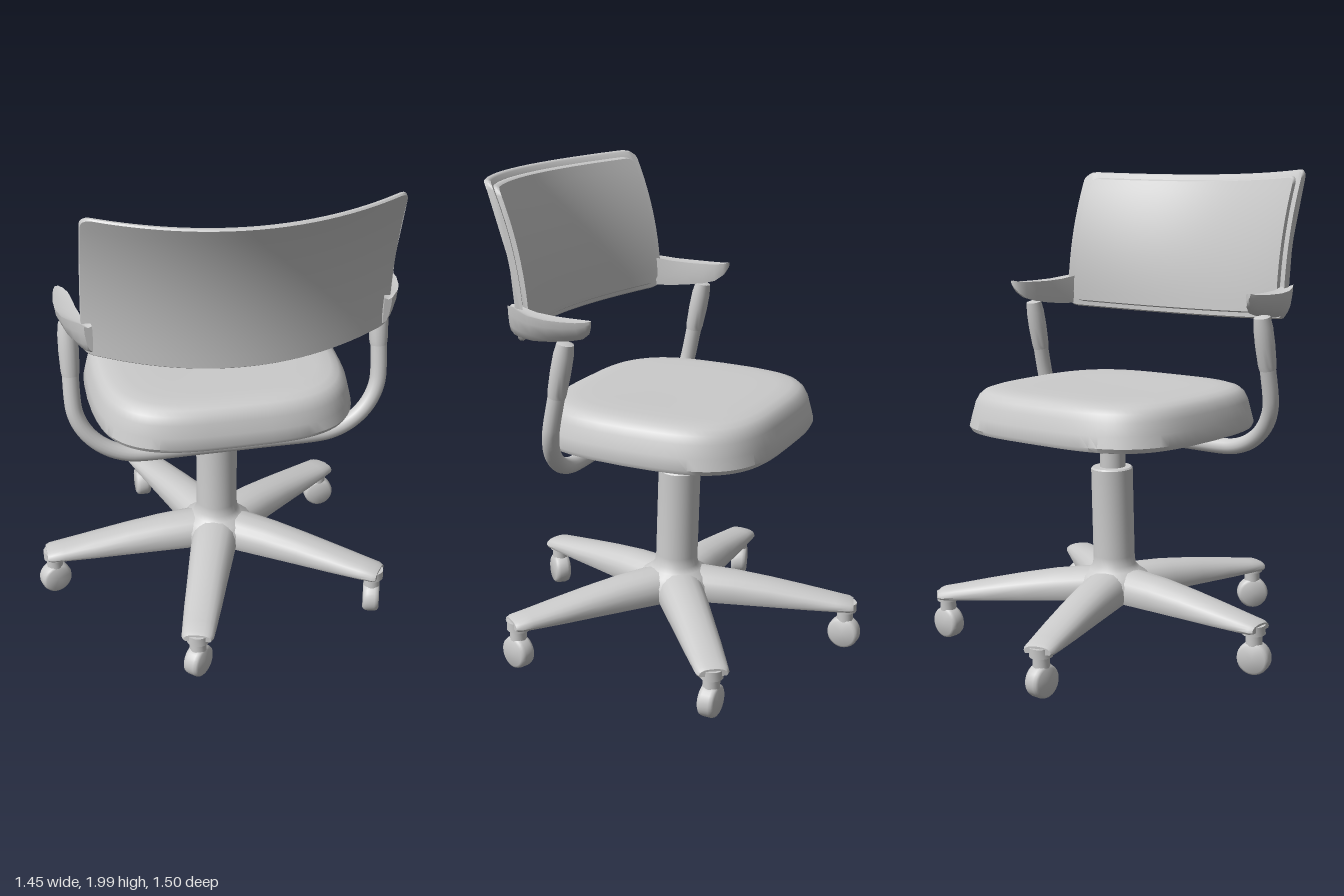
import * as THREE from 'three';
import { toCreasedNormals } from 'three/addons/utils/BufferGeometryUtils.js';

const material = new THREE.MeshStandardMaterial({ color: 0xcccccc });
const V = (x, y, z) => new THREE.Vector3(x, y, z);

function add(parent, name, geometry) {
  const mesh = new THREE.Mesh(geometry, material);
  mesh.name = name;
  parent.add(mesh);
  return mesh;
}

// Closed solid skinned over equal-length rings of points, faces turned outward
function loft(rings, crease = 0.7) {
  const n = rings[0].length, pts = rings.flat(), tris = [];
  for (let i = 0; i < rings.length - 1; i++) {
    for (let j = 0; j < n; j++) {
      const a = i * n + j, b = i * n + (j + 1) % n;
      tris.push([a, b, b + n], [a, b + n, a + n]);
    }
  }
  [0, rings.length - 1].forEach((r, end) => {
    const mid = rings[r].reduce((s, p) => s.add(p), V(0, 0, 0)).divideScalar(n);
    const c = pts.push(mid) - 1;
    for (let j = 0; j < n; j++) {
      const a = r * n + j, b = r * n + (j + 1) % n;
      tris.push(end ? [c, a, b] : [c, b, a]);
    }
  });
  let volume = 0;
  const cross = V(0, 0, 0);
  for (const [a, b, c] of tris) volume += pts[a].dot(cross.crossVectors(pts[b], pts[c]));
  const g = new THREE.BufferGeometry().setFromPoints(pts);
  g.setIndex(tris.flatMap(([a, b, c]) => (volume < 0 ? [a, c, b] : [a, b, c])));
  return toCreasedNormals(g, crease);
}

function lathe(profile, segments = 32) {
  return toCreasedNormals(new THREE.LatheGeometry(profile.map(([r, y]) => new THREE.Vector2(r, y)), segments), 0.7);
}

// Superellipse coordinate
const sup = (c, n) => Math.sign(c) * Math.pow(Math.abs(c), 2 / n);

// Curved, backward-leaning panel; front and back are depths ahead of the back face
function backPanel(halfWidth, inset, back, front, radius) {
  const rings = [], steps = 36, rows = 12;
  for (let i = 0; i <= steps; i++) {
    const x = halfWidth * Math.sin((i / steps - 0.5) * Math.PI);
    const u = x / 0.59, k = Math.max(0, (Math.abs(x) - halfWidth + radius) / radius);
    const trim = inset + radius * (1 - Math.sqrt(Math.max(0, 1 - k * k)));
    const y0 = 1.373 + 0.027 * u * u + trim, y1 = 1.985 + 0.015 * u * u - trim;
    const point = (t, depth) => {
      const y = y0 + (y1 - y0) * t;
      const lean = 0.13 * Math.pow(Math.max(0, (y - 1.37) / 0.63), 2.2);
      return V(x, y, 0.55 + lean - 0.18 * u * u - depth);
    };
    const ring = [], e = (front - back) * 0.3;
    ring.push(point(0, back + e), point(0, front - e));
    for (let j = 0; j <= rows; j++) ring.push(point(0.01 + 0.98 * j / rows, front));
    ring.push(point(1, front - e), point(1, back + e));
    for (let j = rows; j >= 0; j--) ring.push(point(0.01 + 0.98 * j / rows, back));
    rings.push(ring);
  }
  return loft(rings);
}

function seatGeometry() {
  // [inset, height] from underside to crown
  const layers = [[0.3, 0.942], [0.03, 0.942], [0.008, 0.948], [0, 0.965], [0.01, 1.01], [0.022, 1.06],
    [0.036, 1.09], [0.055, 1.108], [0.085, 1.118], [0.14, 1.122], [0.25, 1.122], [0.4, 1.12]];
  return loft(layers.map(([inset, y]) => Array.from({ length: 72 }, (_, i) => {
    const a = i / 72 * Math.PI * 2;
    const z = -0.03 + (0.485 - inset) * sup(Math.sin(a), 3.5);
    const taper = 1 - 0.09 * Math.max(0, z) - 0.03 * Math.max(0, -z);
    return V((0.538 - inset) * sup(Math.cos(a), 3.5) * taper, y + 0.025 * z, z);
  })));
}

// Flared arm pad: [z, outer x, inner x, top y, bottom y]
function armGeometry(side) {
  const sections = [[0.033, 0.648, 0.636, 1.522, 1.5], [0.05, 0.656, 0.618, 1.518, 1.468],
    [0.085, 0.664, 0.604, 1.515, 1.442], [0.14, 0.67, 0.597, 1.514, 1.428], [0.21, 0.67, 0.592, 1.515, 1.418],
    [0.29, 0.653, 0.583, 1.52, 1.41], [0.35, 0.628, 0.57, 1.53, 1.41], [0.39, 0.604, 0.56, 1.538, 1.415],
    [0.415, 0.585, 0.555, 1.535, 1.43]];
  return loft(sections.map(([z, xo, xi, yt, yb]) => {
    const w = xo - xi, h = yt - yb;
    return [[xo, yt], [xi + w * 0.5, yt - h * 0.06], [xi, yt], [xi - w * 0.05, yb + h * 0.4], [xi, yb],
      [xi + w * 0.4, yb + h * 0.06], [xi + w * 0.72, yb + h * 0.3], [xo - w * 0.06, yb + h * 0.7]]
      .map(([x, y]) => V(side * x, y, z));
  }), 0.8);
}

// Tube frame lies in a plane leaning toward the backrest
const frameZ = y => 0.15 + (1.42 - y) * 0.21;
function frameGeometry() {
  const half = [V(-0.622, 1.42, 0), V(-0.622, 1.27, 0)];
  for (let i = 0; i <= 8; i++) {
    const a = i / 8 * Math.PI / 2;
    half.push(V(-0.352 - 0.27 * Math.cos(a), 1.11 - 0.245 * Math.sin(a), 0));
  }
  half.push(V(-0.15, 0.865, 0));
  const path = [...half, ...half.map(p => V(-p.x, p.y, 0)).reverse()];
  path.forEach(p => { p.z = frameZ(p.y); });
  return new THREE.TubeGeometry(new THREE.CatmullRomCurve3(path, false, 'centripetal'), 120, 0.033, 16);
}

// Tapered leg running along +x: [distance, half width, top y, bottom y]
function legGeometry() {
  const sections = [[0, 0.1, 0.345, 0.225], [0.12, 0.098, 0.343, 0.222], [0.25, 0.092, 0.333, 0.22],
    [0.4, 0.084, 0.312, 0.217], [0.55, 0.077, 0.286, 0.214], [0.68, 0.069, 0.262, 0.212],
    [0.735, 0.065, 0.252, 0.212], [0.752, 0.056, 0.244, 0.214]];
  return loft(sections.map(([x, w, yt, yb]) => {
    const ring = [V(x, yb, -w * 0.92), V(x, yb, w * 0.92)];
    for (let i = 0; i <= 10; i++) {
      const a = i / 10 * Math.PI;
      ring.push(V(x, yb + (yt - yb) * (0.2 + 0.8 * sup(Math.sin(a), 2.4)), w * sup(Math.cos(a), 2.4)));
    }
    return ring;
  }));
}

function caster(heading) {
  const group = new THREE.Group();
  group.name = 'caster';
  add(group, 'casterCollar', lathe([[0, 0.15], [0.034, 0.15], [0.034, 0.195], [0.046, 0.197], [0.046, 0.235], [0, 0.235]], 20));
  const wheel = add(group, 'casterWheel', lathe([[0, -0.034], [0.054, -0.034], [0.063, -0.028], [0.067, -0.016],
    [0.067, 0.016], [0.063, 0.028], [0.054, 0.034], [0, 0.034]], 28));
  wheel.rotation.x = Math.PI / 2;
  wheel.position.y = 0.1;
  group.rotation.y = heading;
  return group;
}

export function createModel() {
  const chair = new THREE.Group();
  chair.name = 'officeChair';
  const upper = new THREE.Group();
  upper.name = 'upperChair';
  upper.position.x = 0.05;
  chair.add(upper);

  // Seat and backrest
  add(upper, 'seat', seatGeometry());
  add(upper, 'backShell', backPanel(0.59, 0, 0, 0.03, 0.035));
  add(upper, 'backPad', backPanel(0.555, 0.025, 0.02, 0.052, 0.035));

  // Arms and the tube under the seat
  add(upper, 'armFrame', frameGeometry());
  for (const side of [-1, 1]) {
    add(upper, side > 0 ? 'leftArmPad' : 'rightArmPad', armGeometry(side));
    const sleeve = add(upper, 'armSleeve', lathe([[0, -0.11], [0.034, -0.11], [0.037, -0.09], [0.04, -0.01],
      [0.039, 0.06], [0.033, 0.105], [0, 0.115]], 20));
    sleeve.position.set(side * 0.622, 1.32, frameZ(1.32));
    sleeve.rotation.x = -0.207;
  }

  // Slightly tilted base with column, five legs and swivelled casters
  const base = new THREE.Group();
  base.name = 'base';
  base.position.x = 0.055;
  base.rotation.x = -0.035;
  chair.add(base);
  add(base, 'gasLift', new THREE.CylinderGeometry(0.053, 0.053, 0.22, 32)).position.set(0, 0.85, 0.006);
  add(base, 'column', lathe([[0, 0.222], [0.14, 0.222], [0.165, 0.25], [0.16, 0.29], [0.135, 0.325], [0.105, 0.342],
    [0.09, 0.362], [0.087, 0.4], [0.087, 0.772], [0.081, 0.778], [0, 0.778]]));
  const headings = [0.3, Math.PI / 2, 0, 1.25, 0.8];
  headings.forEach((heading, i) => {
    const angle = Math.PI - i * Math.PI * 2 / 5;
    add(base, 'leg', legGeometry()).rotation.y = angle;
    const wheel = caster(heading);
    wheel.position.set(0.72 * Math.cos(angle), 0, -0.72 * Math.sin(angle));
    base.add(wheel);
  });
  return chair;
}
